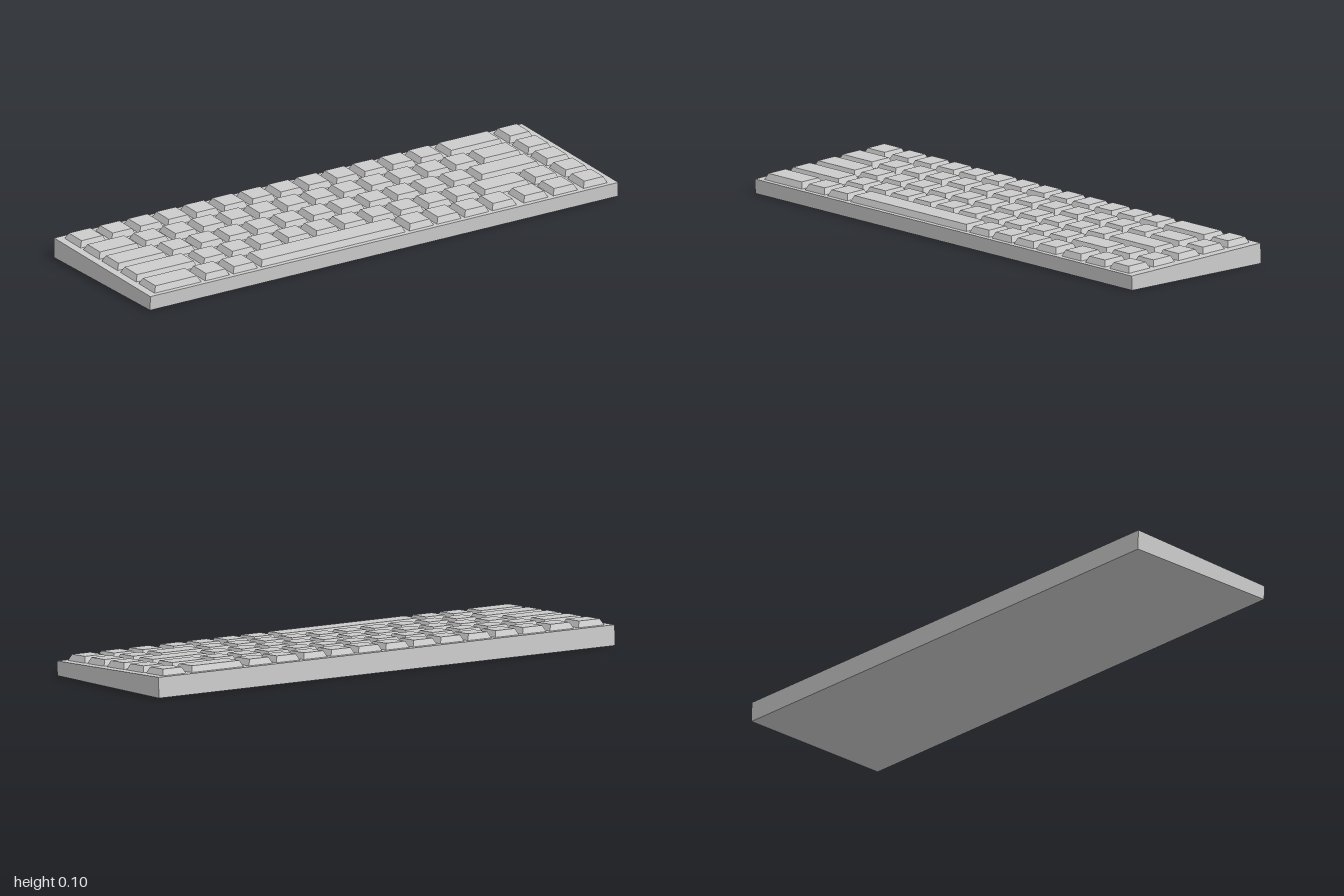
import * as THREE from 'three';

const material = new THREE.MeshStandardMaterial({ color: 0xcccccc, flatShading: true });
const FRONT_Y = 0.053, BACK_Y = 0.075, HALF_DEPTH = 0.309;
const TILT = Math.atan((BACK_Y - FRONT_Y) / (2 * HALF_DEPTH));
const KEY_DEPTH = 0.102, KEY_HEIGHT = 0.0225, INSET = 0.0105;

// height of the sloping deck at a given depth
const deckY = z => (FRONT_Y + BACK_Y) / 2 - z * Math.tan(TILT);

// evenly pitched key spans [left, right]
const run = (start, count, pitch = 0.12, width = 0.104) =>
  Array.from({ length: count }, (_, i) => [start + i * pitch, start + i * pitch + width]);

// wedge-shaped body
function makeBody() {
  const side = new THREE.Shape([
    new THREE.Vector2(-HALF_DEPTH, 0),
    new THREE.Vector2(HALF_DEPTH, 0),
    new THREE.Vector2(HALF_DEPTH - 0.002, BACK_Y),
    new THREE.Vector2(-HALF_DEPTH - 0.002, FRONT_Y),
  ]);
  const geometry = new THREE.ExtrudeGeometry(side, { depth: 2, bevelEnabled: false });
  geometry.translate(0, 0, -1).rotateY(Math.PI / 2);
  const body = new THREE.Mesh(geometry, material);
  body.name = 'body';
  return body;
}

// tapered keycap standing on y = 0
function makeKey(width) {
  const geometry = new THREE.BoxGeometry(width, KEY_HEIGHT, KEY_DEPTH);
  geometry.translate(0, KEY_HEIGHT / 2, 0);
  const p = geometry.attributes.position;
  for (let i = 0; i < p.count; i++) {
    if (p.getY(i) < KEY_HEIGHT / 2) continue;
    p.setX(i, p.getX(i) - Math.sign(p.getX(i)) * INSET);
    p.setZ(i, p.getZ(i) - Math.sign(p.getZ(i)) * INSET);
  }
  geometry.computeVertexNormals();
  return new THREE.Mesh(geometry, material);
}

export function createModel() {
  const model = new THREE.Group();
  model.name = 'keyboard';
  model.add(makeBody());

  // key spans, row by row from the back
  const last = [0.863, 0.965];
  const rows = [
    { name: 'numberRow', z: -0.233, keys: [[-0.97, -0.858], ...run(-0.837, 12), [0.611, 0.838], last] },
    { name: 'upperRow', z: -0.114, keys: [[-0.97, -0.793], [-0.773, -0.667], ...run(-0.647, 11), [0.673, 0.838], last] },
    { name: 'homeRow', z: 0.0045, keys: [[-0.97, -0.754], [-0.737, -0.635], ...run(-0.615, 10), [0.585, 0.838], last] },
    { name: 'lowerRow', z: 0.124, keys: [[-0.97, -0.708], ...run(-0.682, 10), [0.518, 0.715], [0.734, 0.838], last] },
    {
      name: 'spaceRow', z: 0.242,
      keys: [[-0.97, -0.771], ...run(-0.754, 2), [-0.514, 0.102], ...run(0.119, 4, 0.118), [0.608, 0.712], [0.734, 0.838], last],
    },
  ];

  for (const { name, z, keys } of rows) {
    const row = new THREE.Group();
    row.name = name;
    row.position.set(0, deckY(z), z);
    row.rotation.x = TILT;
    for (const [left, right] of keys) {
      const key = makeKey(right - left);
      key.name = right - left > 0.5 ? 'spaceBar' : 'key';
      key.position.x = (left + right) / 2;
      row.add(key);
    }
    model.add(row);
  }
  return model;
}
